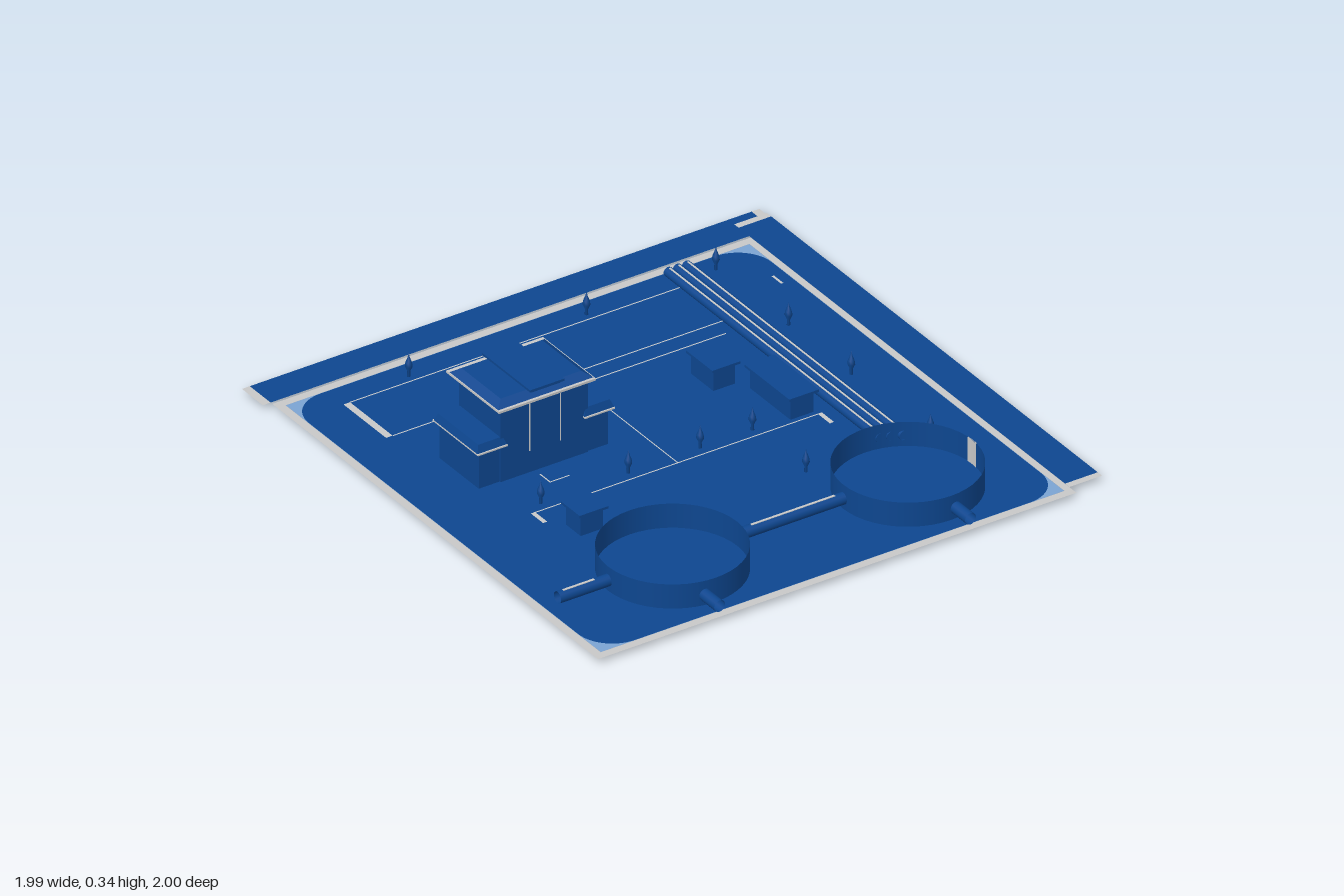
import * as THREE from 'three';

const mat = (name, color) => {
  const m = new THREE.MeshStandardMaterial({ color, side: THREE.DoubleSide });
  m.name = name;
  return m;
};

export function createModel() {
  const model = new THREE.Group();
  const blue = mat('deep blue', 0x0d468f);
  const gray = mat('light gray', 0xc8c8c8);
  const paleBlue = mat('pale blue', 0x7ba3d2);
  const G = 0.02; // ground level

  const add = (name, geo, material, x = 0, y = 0, z = 0, parent = model) => {
    const m = new THREE.Mesh(geo, material);
    m.name = name;
    m.position.set(x, y, z);
    parent.add(m);
    return m;
  };
  const box = (name, material, x0, x1, y0, y1, z0, z1, parent) =>
    add(name, new THREE.BoxGeometry(x1 - x0, y1 - y0, z1 - z0), material,
      (x0 + x1) / 2, (y0 + y1) / 2, (z0 + z1) / 2, parent);
  // Flat ground sheet between x0..x1 and z0..z1
  const sheet = (name, material, x0, x1, z0, z1, y = G) =>
    add(name, new THREE.PlaneGeometry(x1 - x0, z1 - z0).rotateX(-Math.PI / 2), material,
      (x0 + x1) / 2, y, (z0 + z1) / 2);
  const rectPath = (T, x0, x1, z0, z1) => new T([
    [x0, -z0], [x0, -z1], [x1, -z1], [x1, -z0],
  ].map(([x, y]) => new THREE.Vector2(x, y)));
  const roundedPath = (T, x0, x1, z0, z1, r) => {
    const p = new T();
    p.absarc(x1 - r, -z0 - r, r, 0, Math.PI / 2);
    p.absarc(x0 + r, -z0 - r, r, Math.PI / 2, Math.PI);
    p.absarc(x0 + r, -z1 + r, r, Math.PI, Math.PI * 1.5);
    p.absarc(x1 - r, -z1 + r, r, Math.PI * 1.5, Math.PI * 2);
    return p;
  };
  const flat = (name, shape, material) =>
    add(name, new THREE.ShapeGeometry(shape, 12).rotateX(-Math.PI / 2), material, 0, G, 0);
  // Box whose top is inset, for hipped roofs
  const hip = (name, x0, x1, y0, y1, z0, z1, inset, parent) => {
    const w = x1 - x0, d = z1 - z0;
    const geo = new THREE.BoxGeometry(w, y1 - y0, d);
    const p = geo.attributes.position;
    for (let i = 0; i < p.count; i++) {
      if (p.getY(i) > 0) {
        p.setX(i, p.getX(i) * (1 - 2 * inset / w));
        p.setZ(i, p.getZ(i) * (1 - 2 * inset / d));
      }
    }
    geo.computeVertexNormals();
    return add(name, geo, blue, (x0 + x1) / 2, (y0 + y1) / 2, (z0 + z1) / 2, parent);
  };

  // Site ground: gray border, pale corners, rounded blue field
  const inner = [-0.935, 0.84, -0.84, 0.97];
  const border = rectPath(THREE.Shape, -0.965, 0.865, -0.87, 1.0);
  border.holes.push(rectPath(THREE.Path, ...inner));
  flat('groundBorder', border, gray);
  const corners = rectPath(THREE.Shape, -0.934, 0.839, -0.839, 0.969);
  corners.holes.push(roundedPath(THREE.Path, -0.933, 0.838, -0.838, 0.968, 0.13));
  flat('groundCorners', corners, paleBlue);
  flat('groundField', roundedPath(THREE.Shape, -0.933, 0.838, -0.838, 0.968, 0.13), blue);

  // Roads behind and beside the site
  sheet('backRoad', blue, -0.965, 0.955, -1, -0.88);
  sheet('backRoadEnd', gray, -0.995, -0.965, -1, -0.88);
  sheet('backRoadEnd', gray, 0.955, 0.985, -1, -0.965);
  sheet('sideRoad', blue, 0.865, 0.99, -0.94, 0.935, G + 0.001);
  sheet('sideRoadEnd', gray, 0.865, 0.99, -0.965, -0.94, G + 0.001);
  sheet('sideRoadEnd', gray, 0.865, 0.99, 0.935, 0.96, G + 0.001);

  // Painted ground markings: x0, x1, z0, z1
  [
    [-0.78, -0.755, -0.74, -0.495], [-0.755, 0.51, -0.742, -0.737],
    [-0.755, 0.51, -0.497, -0.492], [0.509, 0.513, -0.74, -0.495],
    [-0.165, 0.475, -0.428, -0.423], [-0.165, -0.15, -0.425, -0.372],
    [-0.093, -0.089, -0.37, 0.145], [-0.65, 0.46, 0.144, 0.149],
    [-0.652, -0.636, 0.145, 0.215], [0.445, 0.461, 0.145, 0.215],
    [-0.495, -0.42, -0.416, -0.411], [-0.497, -0.492, -0.416, -0.36],
    [-0.495, -0.42, 0.016, 0.021], [-0.497, -0.492, -0.04, 0.02],
    [0.788, 0.797, -0.635, -0.58],
  ].forEach((r) => sheet('groundMarking', gray, ...r, G + 0.0015));
  box('drain', gray, -0.006, 0.006, 0, 0.012, -0.006, 0.006);

  // Open round tanks, the one on the left with a gray gate
  [-0.46, 0.44].forEach((x) => {
    add('tankWall', new THREE.CylinderGeometry(0.247, 0.247, 0.09, 48, 1, true), blue,
      x, 0.065, 0.67);
  });
  [0.2455, 0.2485].forEach((r) => add('tankGate',
    new THREE.CylinderGeometry(r, r, 0.09, 4, 1, true, Math.PI / 2 - 0.1, 0.2),
    gray, 0.44, 0.065, 0.67));

  // Pipes between two points on the ground plan
  const pipe = (name, x0, z0, x1, z1, r = 0.021) => {
    const len = Math.hypot(x1 - x0, z1 - z0);
    const geo = new THREE.CylinderGeometry(r, r, len, 16, 1, true).rotateX(Math.PI / 2);
    const m = add(name, geo, blue, (x0 + x1) / 2, 0.06, (z0 + z1) / 2);
    m.rotation.y = Math.atan2(x1 - x0, z1 - z0);
    return m;
  };
  pipe('inletPipe', -0.9, 0.67, -0.707, 0.67);
  pipe('linkPipe', -0.213, 0.67, 0.193, 0.67);
  pipe('outletPipe', -0.5, 0.915, -0.5, 1.0);
  pipe('outletPipe', 0.46, 0.915, 0.46, 1.0);
  box('pipeStripe', gray, -0.88, -0.76, 0.08, 0.082, 0.666, 0.675);
  box('pipeStripe', gray, -0.16, 0.16, 0.08, 0.082, 0.666, 0.675);
  [[0.495, 0.43], [0.53, 0.44], [0.565, 0.46]].forEach(([x, end]) => {
    pipe('feedPipe', x, -0.79, x, end, 0.017);
    box('feedPipeStripe', gray, x - 0.003, x + 0.003, 0.0765, 0.0785, -0.78, end - 0.01);
    add('feedPipeEnd', new THREE.CircleGeometry(0.017, 16), gray, x, 0.06, -0.789);
  });

  // Main building: tall hall, lower wings, hipped roofs with gray eaves
  const hall = new THREE.Group();
  hall.name = 'mainBuilding';
  model.add(hall);
  box('hallWalls', blue, -0.625, -0.29, G, 0.285, -0.31, -0.07, hall);
  box('hallEave', gray, -0.645, -0.275, 0.292, 0.3, -0.352, -0.048, hall);
  hip('hallSoffit', -0.635, -0.28, 0.283, 0.292, -0.335, -0.06, 0, hall);
  hip('hallRoof', -0.642, -0.278, 0.3, 0.32, -0.338, -0.058, 0.028, hall);
  box('roofVent', blue, -0.51, -0.4, 0.318, 0.328, -0.315, -0.065, hall);
  box('roofVentCap', blue, -0.522, -0.39, 0.327, 0.335, -0.33, -0.055, hall);
  [-0.515, -0.397].forEach((x) => [-0.069, -0.311].forEach((z) =>
    box('wallSeam', gray, x - 0.0015, x + 0.0015, 0.1, 0.28, z - 0.002, z + 0.002, hall)));
  [[-0.705, -0.62], [-0.295, -0.21]].forEach(([x0, x1]) => {
    box('wingWalls', blue, x0, x1, G, 0.157, -0.3, -0.075, hall);
    box('wingEave', gray, x0 - 0.015, x1 + 0.015, 0.155, 0.16, -0.318, -0.057, hall);
    hip('wingRoof', x0 - 0.014, x1 + 0.014, 0.16, 0.187, -0.313, -0.062, 0.01, hall);
  });

  // Small sheds with overhanging flat roofs
  [[0.235, 0.342, -0.297, -0.145], [0.342, 0.455, -0.12, 0.137], [-0.607, -0.497, 0.25, 0.357]]
    .forEach(([x0, x1, z0, z1]) => {
      const e = 0.012;
      box('shedWalls', blue, x0 + e, x1 - e, G, 0.097, z0 + e, z1 - e);
      box('shedRoof', blue, x0, x1, 0.096, 0.105, z0, z1);
    });

  // Spindle-shaped lamp posts
  const lampGeo = new THREE.LatheGeometry([
    [0, 0.016], [0.006, 0.02], [0.005, 0.04], [0.013, 0.058], [0.011, 0.072], [0.004, 0.09], [0, 0.106],
  ].map(([r, y]) => new THREE.Vector2(r, y)), 8);
  [
    [-0.51, -0.77], [0.17, -0.77], [0.665, -0.77], [0.67, -0.36], [0.67, 0], [0.67, 0.455],
    [-0.59, 0.108], [-0.255, 0.108], [0.02, 0.108], [0.22, 0.108], [0.22, 0.415],
    [-0.59, -0.38], [-0.3, -0.38],
  ].forEach(([x, z]) => add('lampPost', lampGeo, blue, x, 0, z));

  return model;
}
